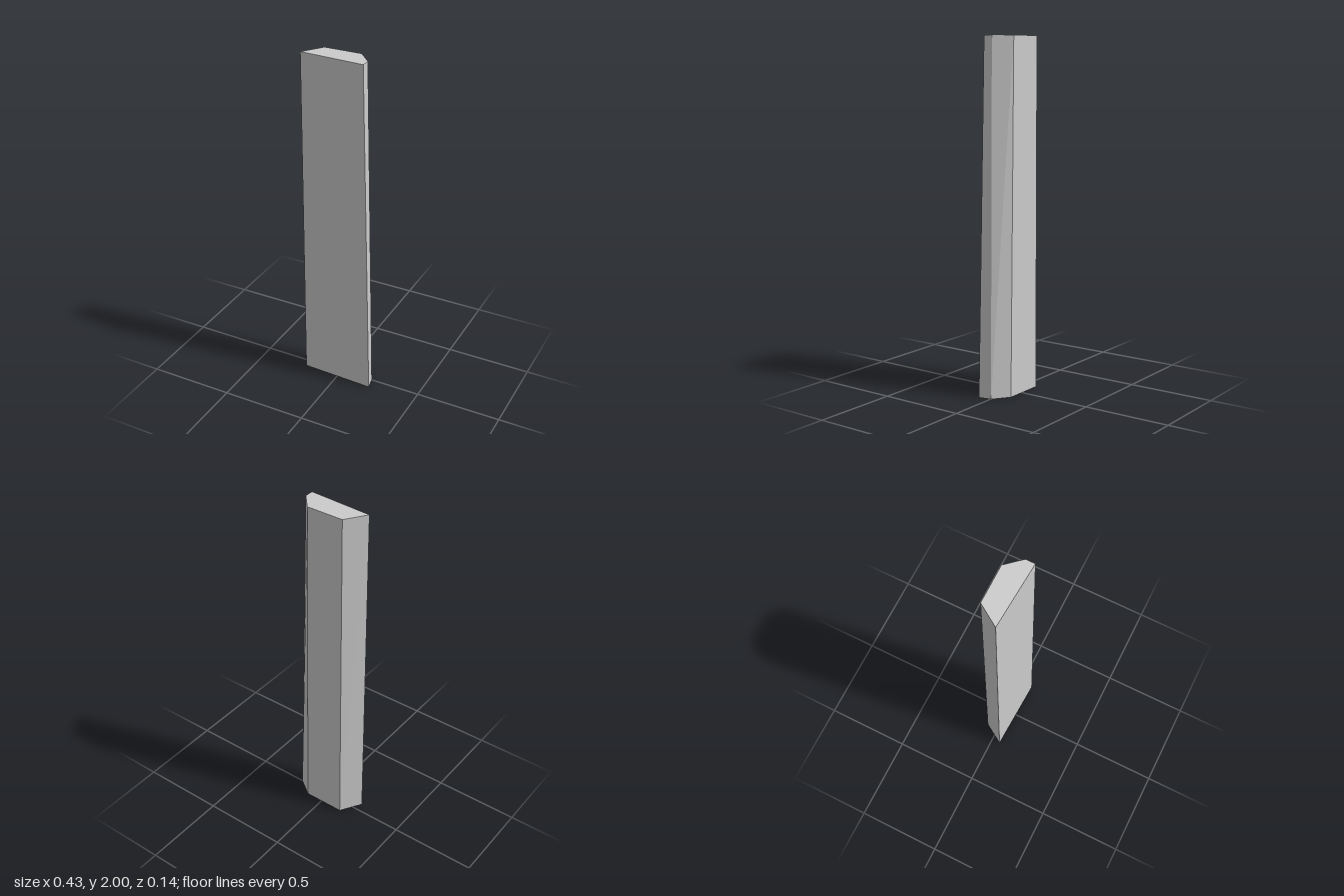
import * as THREE from 'three';

// Joins two matching [x, z] outlines, at y = 0 and y = height, into a closed faceted solid
function loft(bottom, top, height) {
  const b = bottom.map(([x, z]) => [x, 0, z]);
  const t = top.map(([x, z]) => [x, height, z]);
  const n = b.length;
  const pos = [];
  const tri = (...corners) => corners.forEach((c) => pos.push(...c));
  // Side walls
  for (let i = 0; i < n; i++) {
    const j = (i + 1) % n;
    tri(b[i], b[j], t[j]);
    tri(b[i], t[j], t[i]);
  }
  // End caps
  for (let i = 1; i < n - 1; i++) {
    tri(t[0], t[i], t[i + 1]);
    tri(b[0], b[i + 1], b[i]);
  }
  const geometry = new THREE.BufferGeometry();
  geometry.setAttribute('position', new THREE.Float32BufferAttribute(pos, 3));
  geometry.computeVertexNormals();
  return geometry;
}

export function createModel() {
  const group = new THREE.Group();
  group.name = 'taperedPlank';

  // Outlines run front left, front right, right ridge, back right, back left on screen
  const bottom = [[-0.215, 0.052], [0.215, 0.07], [0.2, -0.003], [0.105, -0.071], [-0.138, -0.071]];
  const top = [[-0.217, 0.048], [0.157, 0.07], [0.157, 0.017], [0.079, -0.071], [-0.138, -0.071]];

  const plank = new THREE.Mesh(
    loft(bottom, top, 2),
    new THREE.MeshStandardMaterial({ color: 0xcccccc, flatShading: true })
  );
  plank.name = 'plank';
  group.add(plank);
  return group;
}
